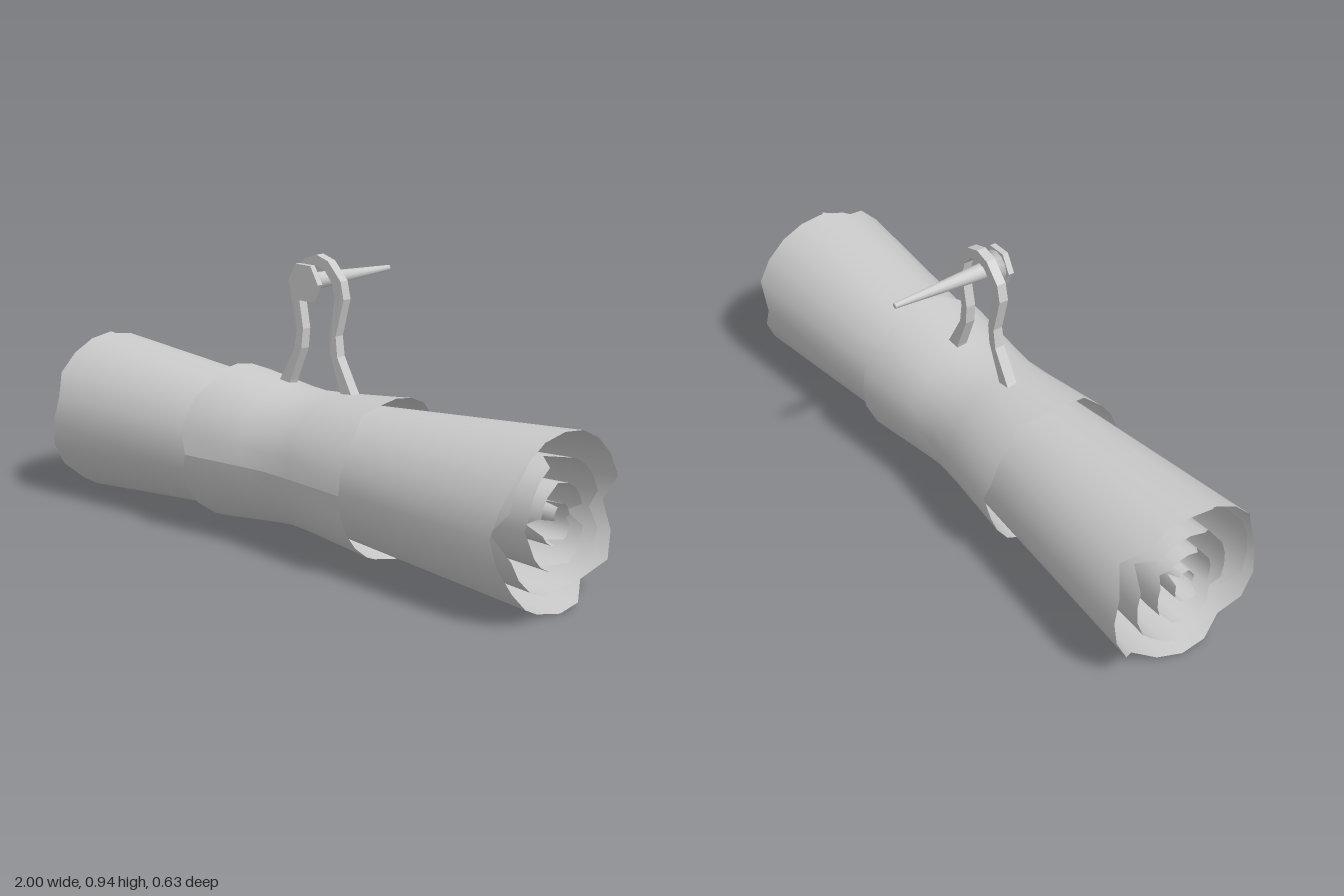
import * as THREE from 'three';

const CY = 0.28, CZ = 0.035; // axis of the roll

const skin = new THREE.MeshStandardMaterial({ color: 0xcccccc, side: THREE.DoubleSide });
const iron = new THREE.MeshStandardMaterial({ color: 0xcccccc });
const ironFlat = new THREE.MeshStandardMaterial({ color: 0xcccccc, flatShading: true });

// Grid surface from a rule at(column, row) -> [x, y, z]
function sheet(name, cols, rows, at) {
  const pos = [], idx = [];
  for (let j = 0; j <= cols; j++) {
    for (let i = 0; i < rows; i++) {
      pos.push(...at(j, i));
      if (j < cols && i < rows - 1) {
        const a = j * rows + i, b = a + rows;
        idx.push(a, a + 1, b, b, a + 1, b + 1);
      }
    }
  }
  const g = new THREE.BufferGeometry();
  g.setAttribute('position', new THREE.Float32BufferAttribute(pos, 3));
  g.setIndex(idx);
  g.computeVertexNormals();
  const m = new THREE.Mesh(g, skin);
  m.name = name;
  return m;
}

const around = (x, r, a) => [x, CY + r * Math.sin(a), CZ + r * Math.cos(a)];

// Rolled sheet: spiral radius per quarter turn, flaring towards both ends
function rolledSheet() {
  const radii = [0.02, 0.053, 0.042, 0.066, 0.09, 0.115, 0.108, 0.146, 0.147,
    0.187, 0.187, 0.216, 0.238, 0.268, 0.278, 0.276, 0.279, 0.275];
  const sub = 5, cols = (radii.length - 1) * sub;
  const curve = new THREE.CatmullRomCurve3(radii.map((r, k) => new THREE.Vector3(k, r, 0)));
  const xs = [-1, -0.36, 0, 0.36, 1];
  // Tears in the outer turn: column -> depth
  const tears = {
    left: { 66: 0.01, 68: 0.06, 73: 0.05, 74: 0.02, 77: 0.03, 80: 0.015, 81: 0.03 },
    right: { 70: 0.06, 71: 0.02, 73: 0.05, 76: 0.02, 79: 0.025, 80: 0.045, 81: 0.02, 84: 0.045 },
  };
  const tear = (j, side) => {
    if (j >= 65) return tears[side][j] || 0;
    const shift = side === 'left' ? 2 : 0;
    return (j + shift) % 5 === 0 ? 0.05 + 0.03 * Math.sin(j * 1.7 + shift) : 0.008;
  };
  return sheet('rolledSheet', cols, xs.length, (j, i) => {
    let x = xs[i];
    if (i === 0) x += tear(j, 'left');
    if (i === 4) x -= tear(j, 'right');
    const r = curve.getPoint(j / cols).y * (0.72 + 0.28 * Math.abs(x));
    return around(x, r, (j / sub) * Math.PI / 2);
  });
}

// Wrap round the middle, with slightly uneven edges
function wrap() {
  const xs = [-0.355, -0.1, 0, 0.1, 0.355], rs = [0.257, 0.23, 0.223, 0.23, 0.257];
  const cols = 24;
  return sheet('wrap', cols, xs.length, (j, i) => {
    const n = j % cols;
    let x = xs[i];
    if (i === 0 && n % 4 === 0) x += 0.024;
    if (i === 4 && (n + 1) % 5 === 0) x -= 0.025;
    return around(x, rs[i], (j / cols) * Math.PI * 2);
  });
}

// Flat bent hanger standing on the wrap
function hanger() {
  const outer = [[0.175, 0.49], [0.155, 0.52], [0.095, 0.625], [0.086, 0.69], [0.118, 0.81],
    [0.105, 0.867], [0.05, 0.925], [0, 0.94]];
  const inner = [[0, 0.905], [0.036, 0.894], [0.067, 0.858], [0.08, 0.81], [0.058, 0.695],
    [0.064, 0.63], [0.11, 0.52], [0.12, 0.49]];
  const mirror = (p) => p.map(([x, y]) => [-x, y]).reverse();
  const pts = [...outer, ...mirror(outer).slice(1), ...mirror(inner), ...inner.slice(1)];
  const shape = new THREE.Shape(pts.map(([x, y]) => new THREE.Vector2(x, y)));
  const g = new THREE.ExtrudeGeometry(shape, { depth: 0.032, bevelEnabled: false });
  // Feet are a little deeper than the top
  const p = g.attributes.position;
  for (let i = 0; i < p.count; i++) {
    const low = Math.max(0, (0.75 - p.getY(i)) / 0.25);
    p.setZ(i, p.getZ(i) - 0.01 + (p.getZ(i) > 0.01 ? 0.008 * low : 0.003 * low));
  }
  g.computeVertexNormals();
  const m = new THREE.Mesh(g, ironFlat);
  m.name = 'hanger';
  return m;
}

// Nail through the top of the hanger, pointing backwards
function nail() {
  const group = new THREE.Group();
  group.name = 'nail';
  const head = new THREE.Mesh(new THREE.CylinderGeometry(0.066, 0.066, 0.02, 6), ironFlat);
  head.name = 'nailHead';
  head.rotation.set(Math.PI / 2, Math.PI / 2, 0, 'XYZ');
  head.position.z = 0.073;
  const profile = [[0, -0.315], [0.009, -0.315], [0.026, -0.01], [0.027, 0.02], [0.032, 0.04],
    [0.046, 0.056], [0.054, 0.064]];
  const shank = new THREE.Mesh(
    new THREE.LatheGeometry(profile.map(([r, y]) => new THREE.Vector2(r, y)), 12), iron);
  shank.name = 'nailShank';
  shank.rotation.x = Math.PI / 2;
  group.add(head, shank);
  group.position.y = 0.858;
  return group;
}

export function createModel() {
  const model = new THREE.Group();
  model.name = 'hangingScroll';
  model.add(rolledSheet(), wrap(), hanger(), nail());
  return model;
}
